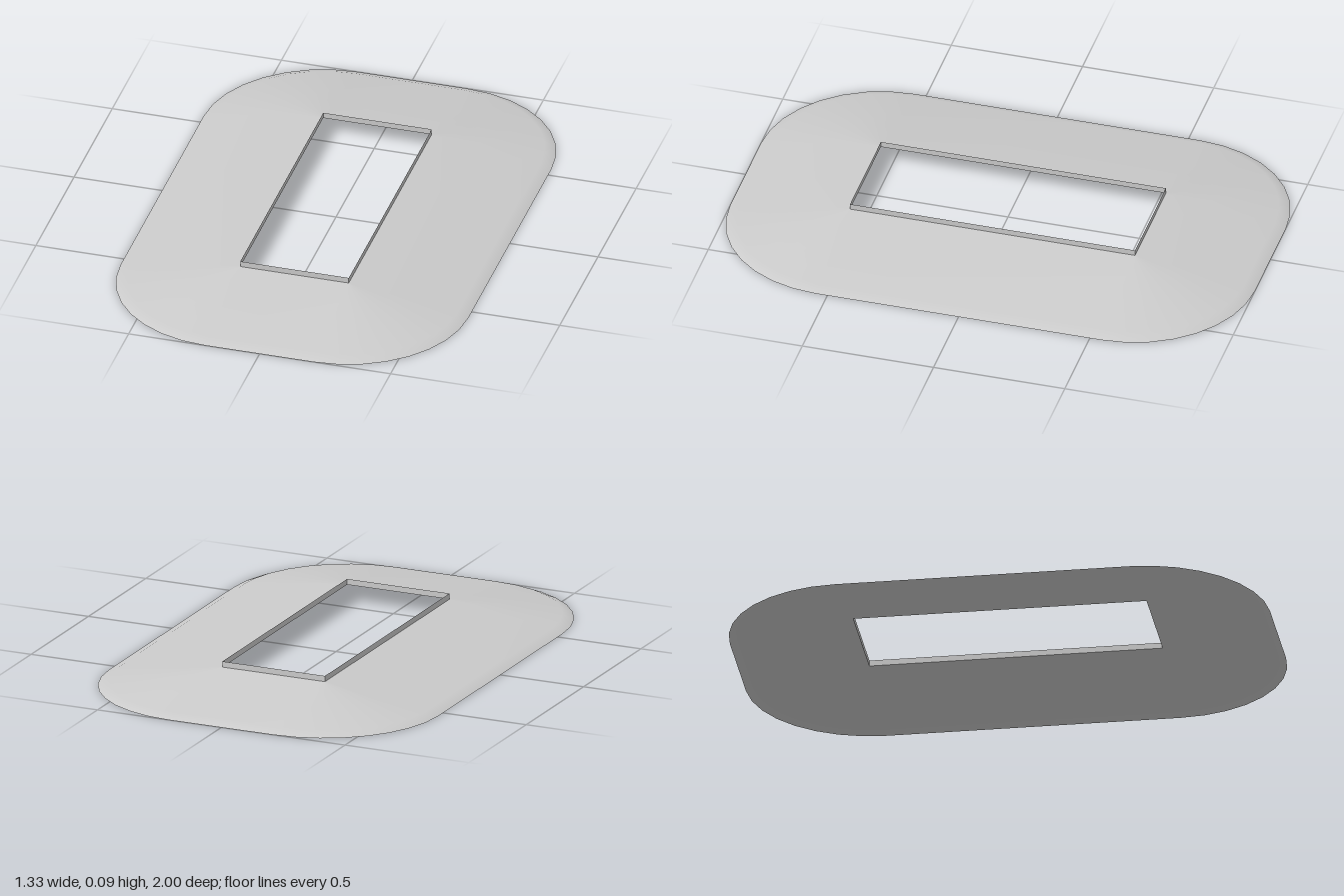
import * as THREE from 'three';

const HALF_X = 0.207, HALF_Z = 0.543; // rectangular opening

// Loop around the opening, pushed outward by d; corners become arcs of radius d
function ring(d, y, segments) {
  const points = [];
  [[1, 1], [-1, 1], [-1, -1], [1, -1]].forEach(([sx, sz], corner) => {
    for (let i = 0; i <= segments; i++) {
      const a = (corner + (segments ? i / segments : 0)) * Math.PI / 2;
      points.push([sx * HALF_X + d * Math.cos(a), y, sz * HALF_Z + d * Math.sin(a)]);
    }
  });
  return points;
}

// Joins successive rings of a [distance, height] profile into an open sheet
function loft(profile, segments) {
  const rings = profile.map(([d, y]) => ring(d, y, segments));
  const n = rings[0].length;
  const index = [];
  for (let r = 0; r < rings.length - 1; r++) {
    for (let i = 0; i < n; i++) {
      const j = (i + 1) % n;
      const a = r * n + i, b = r * n + j, c = a + n, d = b + n;
      index.push(a, d, c, a, b, d);
    }
  }
  const geometry = new THREE.BufferGeometry();
  geometry.setAttribute('position', new THREE.Float32BufferAttribute(rings.flat(2), 3));
  geometry.setIndex(index);
  geometry.computeVertexNormals();
  return geometry;
}

export function createModel() {
  const group = new THREE.Group();
  group.name = 'flashingCollar';

  const add = (name, geometry, flatShading) => {
    const material = new THREE.MeshStandardMaterial({
      color: 0xcccccc, side: THREE.DoubleSide, flatShading,
    });
    const mesh = new THREE.Mesh(geometry, material);
    mesh.name = name;
    group.add(mesh);
  };

  // Sloping skirt with a steeper lip at its outer edge
  add('skirt', loft([[0, 0.071], [0.415, 0.018], [0.457, 0]], 8), false);

  // Thin upright wall around the opening
  add('collar', loft([[0, 0.093], [0, 0.071]], 0), true);

  return group;
}
